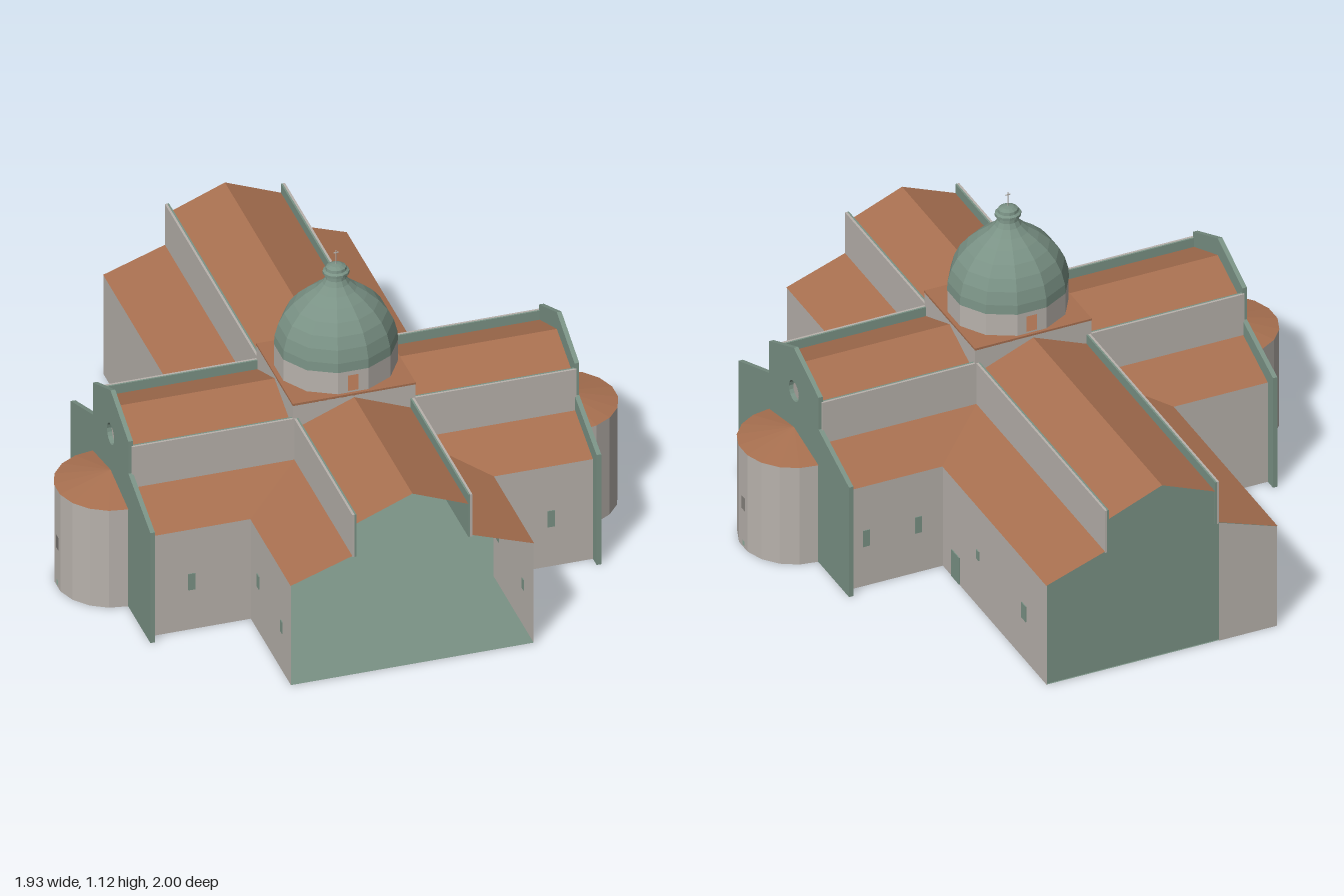
import * as THREE from 'three';

const mat = (name, color) => new THREE.MeshStandardMaterial({ name, color, side: THREE.DoubleSide, flatShading: true });

export function createModel() {
  const stone = mat('grey stone', 0xb8b2ac);
  const green = mat('weathered green', 0x7a9285);
  const tile = mat('roof tile', 0xa87050);
  const model = new THREE.Group();
  const ZC = 0.185;                 // centre line of the transept
  const flip = z => 2 * ZC - z;     // mirror across that line

  const add = (name, geo, m, parent = model) => {
    const mesh = new THREE.Mesh(geo, m);
    mesh.name = name;
    parent.add(mesh);
    return mesh;
  };
  const box = (name, m, x0, x1, y0, y1, z0, z1) =>
    add(name, new THREE.BoxGeometry(Math.abs(x1 - x0), y1 - y0, Math.abs(z1 - z0)), m)
      .position.set((x0 + x1) / 2, (y0 + y1) / 2, (z0 + z1) / 2);
  // flat four-cornered panel
  const quad = (name, m, pts) => {
    const g = new THREE.BufferGeometry();
    g.setAttribute('position', new THREE.Float32BufferAttribute([0, 1, 2, 0, 2, 3].flatMap(i => pts[i]), 3));
    g.computeVertexNormals();
    return add(name, g, m);
  };
  const shapeOf = (pts, holes = []) => {
    const s = new THREE.Shape(pts.map(p => new THREE.Vector2(...p)));
    for (const h of holes) s.holes.push(h);
    return s;
  };
  const rectHole = (x, y, w, h) => new THREE.Path([[-1, -1], [-1, 1], [1, 1], [1, -1]]
    .map(([a, b]) => new THREE.Vector2(x + a * w / 2, y + b * h / 2)));

  // ring of upright panels, with a hole in chosen panels
  const panelRing = (name, parent, R, n, step, first, y0, y1, holesFor) => {
    const w = R * Math.sin(step / 2), d = R * Math.cos(step / 2);
    for (let i = 0; i < n; i++) {
      const a = first + i * step;
      const g = new THREE.ShapeGeometry(shapeOf([[-w, y0], [w, y0], [w, y1], [-w, y1]], holesFor(i)));
      const p = add(name, g, stone, parent);
      p.rotation.y = a;
      p.position.set(d * Math.sin(a), 0, d * Math.cos(a));
    }
  };

  // floor slab outline: cross with rounded ends
  const half = [[0.42, 1], [0.42, 0.57], [0.765, 0.57], [0.765, 0.61], [0.78, 0.61], [0.78, 0.37]];
  for (let i = 1; i < 9; i++) {
    const a = i * Math.PI / 9;
    half.push([0.78 + 0.188 * Math.sin(a), ZC + 0.188 * Math.cos(a)]);
  }
  half.push([0.78, 0], [0.78, -0.24], [0.765, -0.24], [0.765, -0.2], [0.42, -0.2], [0.42, -1]);
  const outline = [...half, ...half.map(([x, z]) => [-x, z]).reverse()];
  add('floor', new THREE.ShapeGeometry(shapeOf(outline)).rotateX(Math.PI / 2), green).position.y = 0.002;

  for (const s of [1, -1]) {
    // nave aisle walls
    quad('aisleWall', stone, [[s * 0.42, 0, 1], [s * 0.42, 0, 0.57], [s * 0.42, 0.39, 0.57], [s * 0.42, 0.39, 1]]);
    quad('aisleWall', stone, [[s * 0.42, 0, -0.2], [s * 0.42, 0, -1], [s * 0.42, 0.39, -1], [s * 0.42, 0.39, -0.2]]);

    for (const f of [z => z, flip]) {
      const front = f(1) === 1;
      const end = front ? 1 : -1, zo = f(0.57), zi = f(0.375);
      // transept side wall
      quad('transeptWall', stone, [[s * 0.42, 0, zo], [s * 0.77, 0, zo], [s * 0.77, 0.39, zo], [s * 0.42, 0.39, zo]]);
      // low roofs meeting in a diagonal valley
      quad('aisleRoof', tile, [[s * 0.2, 0.468, end], [s * 0.422, 0.39, end], [s * 0.422, 0.39, zo], [s * 0.2, 0.468, zi]]);
      quad('transeptLowRoof', tile, [[s * 0.2, 0.468, zi], [s * 0.422, 0.39, zo], [s * 0.77, 0.39, zo], [s * 0.77, 0.468, zi]]);
      // high roofs
      quad('naveRoof', tile, [[0, 0.668, zi], [0, 0.668, end], [s * 0.2, 0.587, end], [s * 0.2, 0.587, zi]]);
      quad('transeptRoof', tile, [[s * 0.2, 0.665, ZC], [s * 0.77, 0.665, ZC], [s * 0.77, 0.587, zi], [s * 0.2, 0.587, zi]]);
      // upper walls rising as parapets, green on the inner face
      box('naveUpperWall', stone, s * 0.2, s * 0.208, 0.46, 0.625, zi, end);
      box('naveParapetLining', green, s * 0.194, s * 0.2, 0.46, 0.625, zi, end);
      const o = front ? 1 : -1;
      box('transeptUpperWall', stone, s * 0.2, s * 0.77, 0.46, 0.625, zi - o * 0.002, zi + o * 0.006);
      box('transeptParapetLining', green, s * 0.2, s * 0.77, 0.46, 0.625, zi - o * 0.008, zi - o * 0.002);
    }

    // transept end facade with round window and openings to the apse
    const prof = [[0.61, 0], [0.61, 0.43], [0.375, 0.52], [0.375, 0.645], [ZC, 0.73],
      [-0.005, 0.645], [-0.005, 0.52], [-0.24, 0.43], [-0.24, 0]].map(([z, y]) => [-z, y]);
    const rose = new THREE.Path();
    rose.absarc(-ZC, 0.56, 0.038, 0, Math.PI * 2, true);
    const holes = [rose, rectHole(-ZC, 0.18, 0.3, 0.34)];
    if (s < 0) holes.push(rectHole(0.14, 0.05, 0.03, 0.04), rectHole(0.05, 0.05, 0.03, 0.04));
    const fg = new THREE.ExtrudeGeometry(shapeOf(prof, holes), { depth: 0.016, bevelEnabled: false, curveSegments: 8 });
    const facade = add('transeptFacade', fg, green);
    facade.rotation.y = Math.PI / 2;
    facade.position.x = s > 0 ? 0.765 : -0.781;

    // rounded apse with a sloping roof
    const apse = new THREE.Group();
    apse.name = 'apse';
    apse.position.set(s * 0.78, 0, ZC);
    const st = Math.PI / 9;
    panelRing('apseWall', apse, 0.188, 9, st, s * Math.PI / 2 - 4 * st, 0, 0.38,
      i => i === 4 ? [rectHole(0, 0.17, 0.028, 0.05), rectHole(0, 0.016, 0.016, 0.018)] : []);
    add('apseRoof', new THREE.ConeGeometry(0.19, 0.04, 9, 1, true, s > 0 ? 0 : Math.PI, Math.PI), tile, apse).position.y = 0.4;
    model.add(apse);
  }

  // back wall, open front
  const gable = [[-0.42, 0], [0.42, 0], [0.42, 0.39], [0.2, 0.466], [0.2, 0.587], [0, 0.666],
    [-0.2, 0.587], [-0.2, 0.466], [-0.42, 0.39]];
  add('backWall', new THREE.ShapeGeometry(shapeOf(gable)), green).position.z = -0.995;
  add('backWallPanel', new THREE.ShapeGeometry(shapeOf([[-0.42, 0], [-0.208, 0], [-0.208, 0.463], [-0.42, 0.39]])), stone)
    .position.z = -1;

  // windows and door as thin plates: [z or x, y, width, height]
  for (const [x, z, y, w, h] of [[0.42, 0.89, 0.165, 0.016, 0.04], [0.42, 0.62, 0.195, 0.025, 0.05],
    [0.42, -0.47, 0.2, 0.02, 0.035], [0.42, -0.825, 0.185, 0.035, 0.06], [0.42, -0.3, 0.054, 0.06, 0.104],
    [-0.42, 0.9, 0.17, 0.02, 0.045], [-0.42, 0.65, 0.195, 0.025, 0.05]])
    box('aisleOpening', green, x - 0.003, x + 0.003, y - h / 2, y + h / 2, z - w / 2, z + w / 2);
  for (const [x, z] of [[0.62, 0.57], [-0.625, 0.57], [0.7, -0.2], [0.51, -0.2]])
    box('transeptWindow', green, x - 0.012, x + 0.012, 0.155, 0.218, z - 0.003, z + 0.003);

  // crossing block under the dome
  for (const s of [1, -1]) {
    box('crossingWall', stone, -0.212, 0.212, 0.588, 0.676, ZC + s * 0.188, ZC + s * 0.195);
    box('crossingWall', stone, s * 0.207, s * 0.213, 0.588, 0.676, ZC - 0.19, ZC + 0.19);
  }
  box('crossingRoof', tile, -0.213, 0.213, 0.675, 0.683, ZC - 0.195, ZC + 0.195);

  // drum, dome, lantern and finial
  const dome = new THREE.Group();
  dome.name = 'domeGroup';
  dome.position.z = ZC;
  dome.scale.z = 0.93;
  model.add(dome);
  panelRing('drum', dome, 0.205, 12, Math.PI / 6, 0, 0.68, 0.768,
    i => i % 6 === 0 ? [rectHole(0, 0.719, 0.038, 0.06)] : []);
  const lathe = (name, pts) => add(name,
    new THREE.LatheGeometry(pts.map(p => new THREE.Vector2(...p)), 12, Math.PI / 12), green, dome);
  lathe('dome', [[0.206, 0.766], [0.204, 0.8], [0.192, 0.845], [0.172, 0.885], [0.142, 0.922],
    [0.105, 0.955], [0.07, 0.98], [0.046, 1.003], [0.036, 1.02]]);
  lathe('lantern', [[0.036, 1.02], [0.034, 1.035], [0.045, 1.038], [0.045, 1.047], [0.036, 1.052],
    [0.034, 1.062], [0.02, 1.069], [0, 1.072]]);
  add('finial', new THREE.CylinderGeometry(0.0015, 0.0015, 0.055, 6), stone, dome).position.y = 1.097;
  add('finialBar', new THREE.BoxGeometry(0.018, 0.003, 0.003), stone, dome).position.y = 1.115;

  return model;
}
